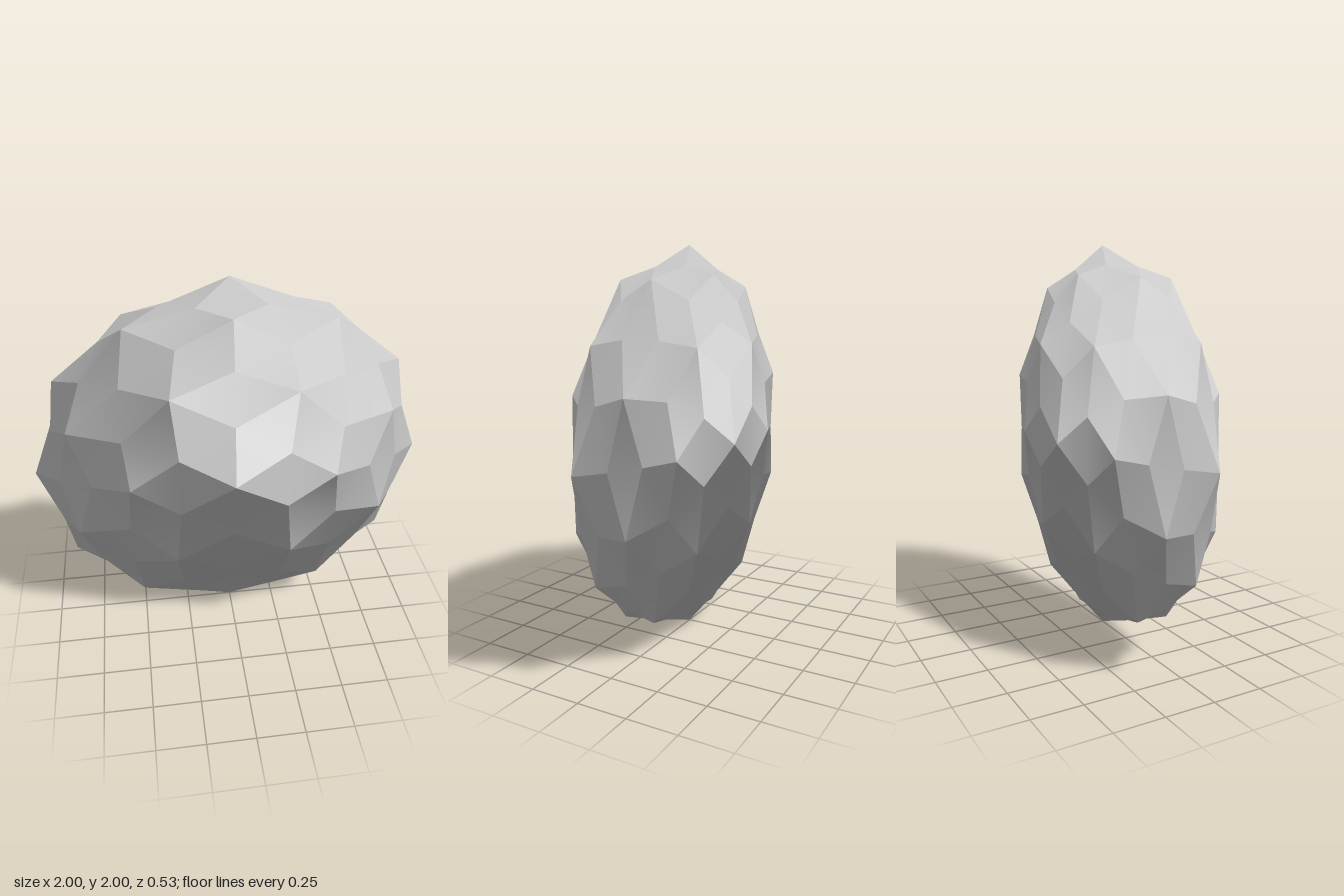
import * as THREE from 'three';
import { mergeVertices } from 'three/addons/utils/BufferGeometryUtils.js';

const DEPTH = 0.263; // half thickness of the flattened ball

// Triangles of a once-subdivided icosahedron, as triples of vertex indices
function baseBall() {
  const ball = new THREE.IcosahedronGeometry(1, 1).rotateZ(Math.PI / 2);
  ball.deleteAttribute('normal');
  ball.deleteAttribute('uv');
  const merged = mergeVertices(ball, 1e-3);
  const pos = merged.attributes.position;
  const points = [];
  for (let i = 0; i < pos.count; i++) points.push(new THREE.Vector3().fromBufferAttribute(pos, i));
  return { points, index: merged.index.array };
}

// One four-sided facet per edge: the edge ends plus the centres of both neighbouring triangles
function facetQuads() {
  const { points, index } = baseBall();
  const open = new Map();
  const quads = [];
  for (let i = 0; i < index.length; i += 3) {
    const tri = [index[i], index[i + 1], index[i + 2]];
    const centre = new THREE.Vector3();
    tri.forEach((v) => centre.addScaledVector(points[v], 1 / 3));
    tri.forEach((a, k) => {
      const b = tri[(k + 1) % 3];
      const opposite = open.get(`${b},${a}`);
      if (opposite) quads.push([points[a], opposite, points[b], centre]);
      else open.set(`${a},${b}`, centre);
    });
  }
  return quads;
}

// Each facet is gently folded along its short diagonal and shaded softly across the fold
function facetedDisc() {
  const positions = [];
  const normals = [];
  const faceNormal = (a, b, c) => new THREE.Triangle(a, b, c).getNormal(new THREE.Vector3());
  const add = (p, n) => {
    positions.push(p.x, p.y, p.z * DEPTH);
    const soft = new THREE.Vector3(n.x, n.y, n.z * DEPTH).normalize();
    normals.push(soft.x, soft.y, soft.z);
  };
  for (const [a, right, b, left] of facetQuads()) {
    const nA = faceNormal(a, right, left);
    const nB = faceNormal(b, left, right);
    const nFold = nA.clone().add(nB).normalize();
    add(a, nA); add(right, nFold); add(left, nFold);
    add(b, nB); add(left, nFold); add(right, nFold);
  }
  const geometry = new THREE.BufferGeometry();
  geometry.setAttribute('position', new THREE.Float32BufferAttribute(positions, 3));
  geometry.setAttribute('normal', new THREE.Float32BufferAttribute(normals, 3));
  return geometry;
}

export function createModel() {
  const group = new THREE.Group();
  group.name = 'facetedGem';
  const disc = new THREE.Mesh(facetedDisc(), new THREE.MeshStandardMaterial({ color: 0xcccccc }));
  disc.name = 'flattenedFacetedBall';
  disc.position.y = 1;
  group.add(disc);
  return group;
}
